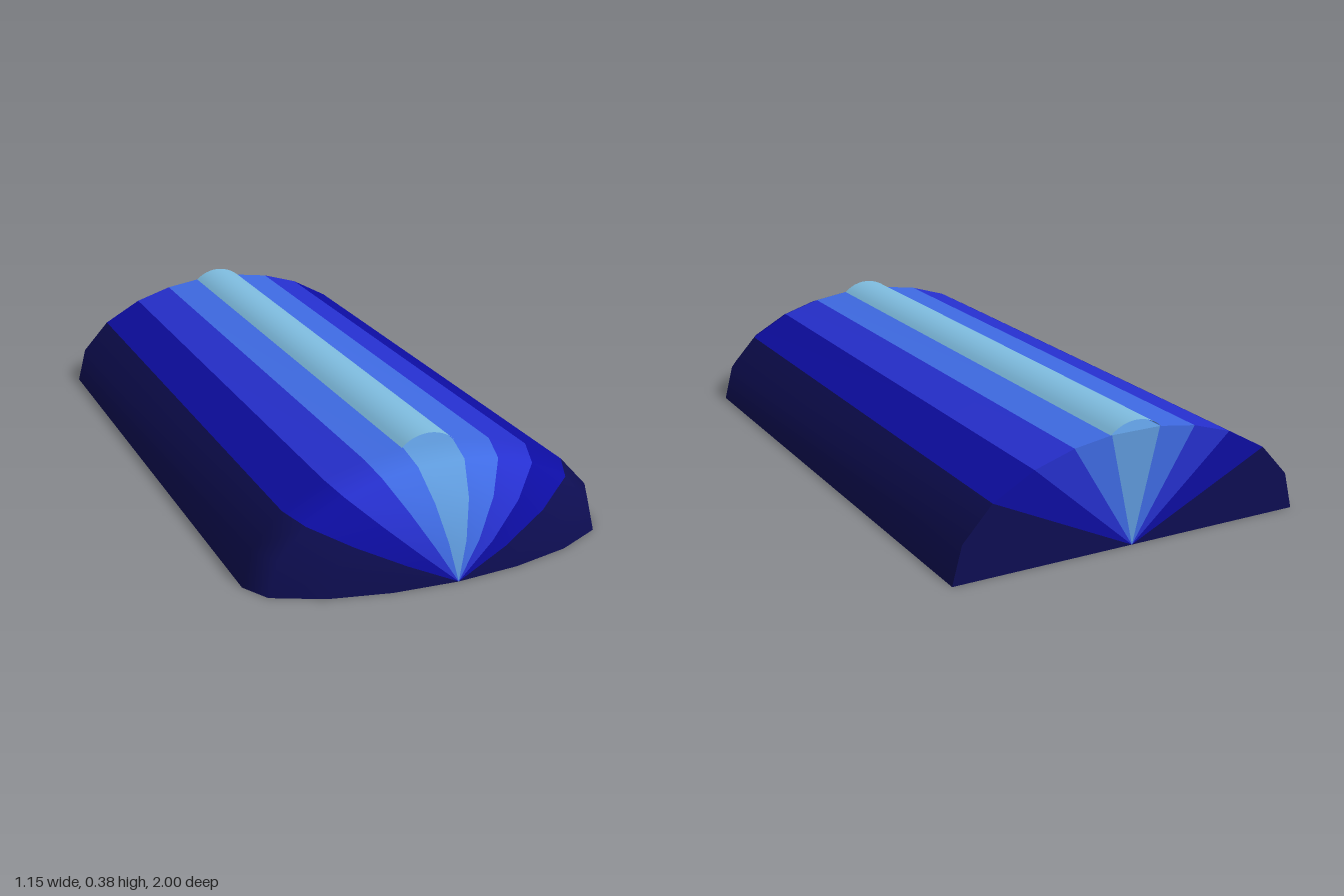
import * as THREE from 'three';

const mat = (name, color) => {
  const m = new THREE.MeshStandardMaterial({ color, side: THREE.DoubleSide });
  m.name = name;
  return m;
};

// Half of the arched cross-section, from the base up to the crown
const half = [[0.575, 0], [0.545, 0.115], [0.453, 0.215], [0.325, 0.286], [0.2, 0.325], [0.08, 0.343]];
const profile = [...half, ...half.slice().reverse().map(([x, y]) => [-x, y])];

// Stations along the length: [z, scale of the cross-section]
const stations = [[-1, 1], [0.79, 1], [0.875, 0.92], [0.945, 0.665], [0.986, 0.345], [1, 0]];

function geometry(points, index) {
  const g = new THREE.BufferGeometry();
  g.setAttribute('position', new THREE.Float32BufferAttribute(points.flat(), 3));
  g.setIndex(index);
  g.computeVertexNormals();
  return g;
}

// Skin through the stations for a run of section points
function strip(section, rows) {
  const points = [], index = [], n = section.length;
  rows.forEach(([z, s]) => section.forEach(([x, y]) => points.push([x * s, y * s, z])));
  for (let r = 0; r < rows.length - 1; r++) {
    for (let i = 0; i < n - 1; i++) {
      const a = r * n + i, b = a + 1, c = a + n, d = c + 1;
      index.push(a, b, c);
      if (rows[r + 1][1] > 0) index.push(b, d, c);
    }
  }
  return geometry(points, index);
}

// Flat fan closing the back end of a run of section points
function backFan(section) {
  const points = [[0, 0, -1], ...section.map(([x, y]) => [x, y, -1])];
  const index = [];
  for (let i = 1; i < section.length; i++) index.push(0, i + 1, i);
  return geometry(points, index);
}

export function createModel() {
  const group = new THREE.Group();
  const add = (name, geo, material) => {
    const mesh = new THREE.Mesh(geo, material);
    mesh.name = name;
    group.add(mesh);
  };

  const navy = mat('navy', 0x0e0e54);
  const darkBlue = mat('dark blue', 0x0d0da3);
  const blue = mat('blue', 0x2630d0);
  const royalBlue = mat('royal blue', 0x3f6be4);
  const lightBlue = mat('light blue', 0x5f9bdd);
  const skyBlue = mat('sky blue', 0x7fbde0);

  // Coloured bands: first and last section point of each, mirrored left to right
  const bands = [
    ['side', 0, 2, navy], ['lowerBand', 2, 3, darkBlue],
    ['middleBand', 3, 4, blue], ['upperBand', 4, 5, royalBlue],
  ];
  const last = profile.length - 1;
  const addBand = (name, from, to, material) => {
    const section = profile.slice(from, to + 1);
    add(name, strip(section, stations), material);
    add(name + 'Back', backFan(section), material);
  };
  for (const [name, from, to, material] of bands) {
    addBand(name + 'Left', from, to, material);
    addBand(name + 'Right', last - to, last - from, material);
  }
  addBand('crown', 5, 6, lightBlue);

  // Flat underside following the rounded nose
  const outline = [
    ...stations.map(([z, s]) => [0.575 * s, z]),
    ...stations.slice(0, -1).reverse().map(([z, s]) => [-0.575 * s, z]),
  ];
  const base = new THREE.ShapeGeometry(new THREE.Shape(outline.map(([x, z]) => new THREE.Vector2(x, z))));
  base.rotateX(Math.PI / 2);
  add('underside', base, navy);

  // Open-ended rounded ridge along the crown
  const radius = 0.124, spread = Math.asin(0.084 / radius);
  const arc = [];
  for (let i = 0; i <= 12; i++) {
    const a = spread * (1 - i / 6);
    arc.push([radius * Math.sin(a), 0.375 + radius * (Math.cos(a) - 1)]);
  }
  add('ridge', strip(arc, [[-1, 1], [0.79, 1]]), skyBlue);

  return group;
}
